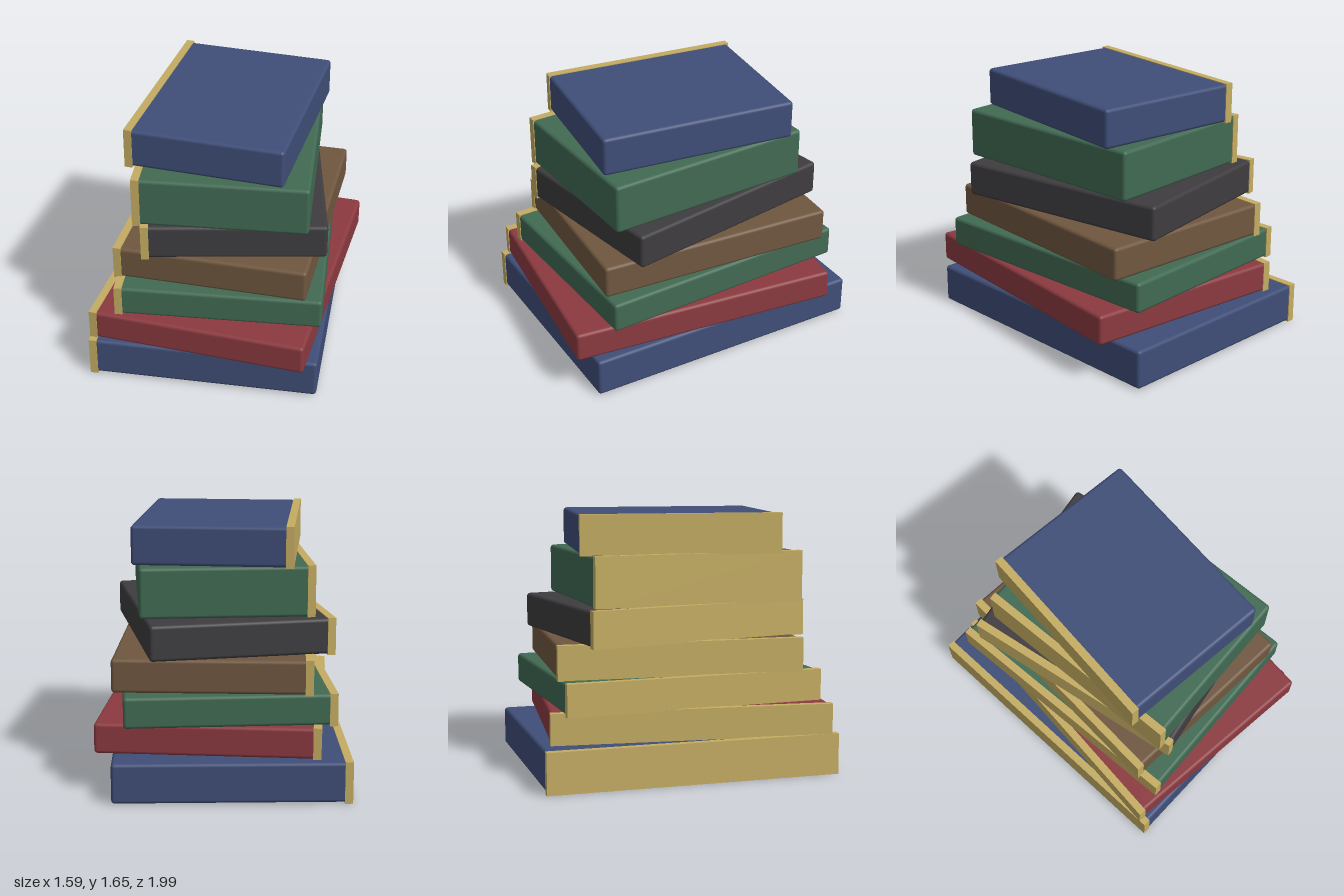
import * as THREE from 'three';
import { RoundedBoxGeometry } from 'three/addons/geometries/RoundedBoxGeometry.js';

const SPINE = 0.05; // spine thickness
const PAD = 0.005; // how far the spine stands proud of the cover

const material = (color) => new THREE.MeshStandardMaterial({ color });
const blue = material(0x3f4e78);
const red = material(0x8b3a40);
const green = material(0x416a53);
const brown = material(0x70573f);
const charcoal = material(0x3e3c3f);
const gold = material(0xc4ac62);

// Bottom to top: cover, height, width, depth, centre x, centre z, turn
const BOOKS = [
  [blue, 0.253, 1.47, 1.885, -0.06, -0.055, -0.007],
  [red, 0.194, 1.4, 1.785, -0.004, 0.031, -0.115],
  [green, 0.196, 1.31, 1.68, -0.015, -0.042, 0.042],
  [brown, 0.212, 1.235, 1.57, 0.01, -0.05, -0.07],
  [charcoal, 0.223, 1.155, 1.475, -0.011, -0.053, 0.163],
  [green, 0.317, 1.085, 1.38, -0.005, 0.022, 0.045],
  [blue, 0.247, 1.0, 1.28, -0.015, -0.009, -0.118],
];

function makeBook(cover, height, width, depth) {
  const book = new THREE.Group();

  // Softly rounded block whose left end is sunk into the spine
  const bodyWidth = width - SPINE / 2;
  const body = new THREE.Mesh(
    new RoundedBoxGeometry(bodyWidth, height, depth - 2 * PAD, 3, 0.022), cover);
  body.name = 'bookBody';
  body.position.x = (width - bodyWidth) / 2;

  // Sharp-edged gold slab along the left side
  const spine = new THREE.Mesh(
    new THREE.BoxGeometry(SPINE, height + 2 * PAD, depth), gold);
  spine.name = 'bookSpine';
  spine.position.x = (SPINE - width) / 2;

  book.add(body, spine);
  return book;
}

export function createModel() {
  const stack = new THREE.Group();
  stack.name = 'bookStack';
  let y = PAD;
  BOOKS.forEach(([cover, height, width, depth, x, z, turn], i) => {
    const book = makeBook(cover, height, width, depth);
    book.name = `book${i + 1}`;
    book.position.set(x, y + height / 2, z);
    book.rotation.y = turn;
    stack.add(book);
    y += height;
  });
  return stack;
}
